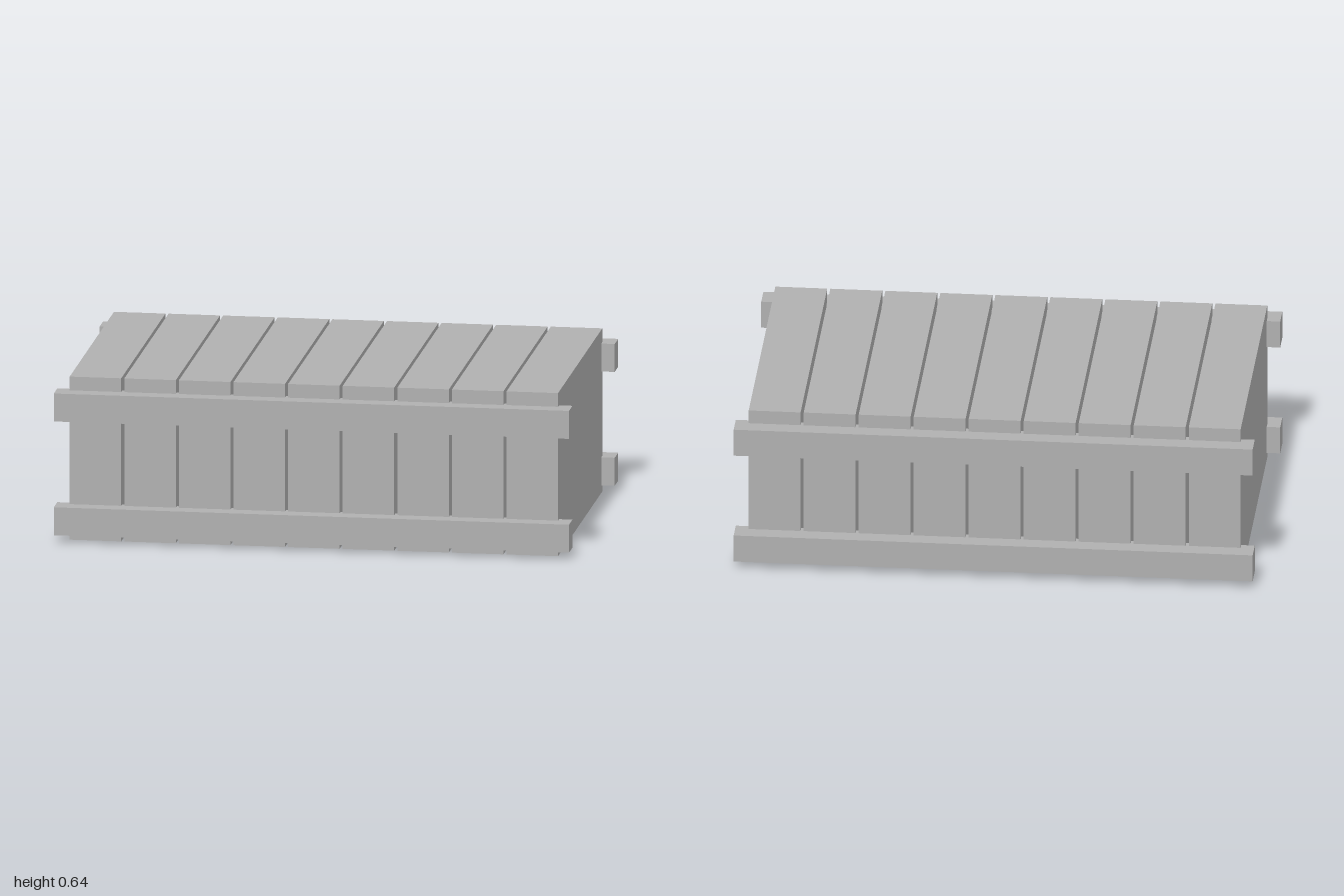
import * as THREE from 'three';

export function createModel() {
  const model = new THREE.Group();
  model.name = 'slattedCrate';
  const grey = new THREE.MeshStandardMaterial({ color: 0xb0b0b0 });
  grey.name = 'plain grey';

  const addBox = (name, size, position) => {
    const mesh = new THREE.Mesh(new THREE.BoxGeometry(...size), grey);
    mesh.name = name;
    mesh.position.set(...position);
    model.add(mesh);
  };

  // Nine full-depth planks with narrow open gaps between them
  const count = 9, pitch = 0.212, plankWidth = 0.2, height = 0.642;
  for (let i = 0; i < count; i++) {
    const x = (i - (count - 1) / 2) * pitch;
    addBox(`plank${i + 1}`, [plankWidth, height, 1.13], [x, height / 2, 0]);
  }

  // Upper and lower rails, let into the front and back of the planks
  for (const [side, sign] of [['front', 1], ['back', -1]]) {
    for (const [level, y] of [['Lower', 0.085], ['Upper', 0.533]]) {
      addBox(`${side}${level}Rail`, [2, 0.11, 0.09], [0, y, sign * 0.584]);
    }
  }

  return model;
}
